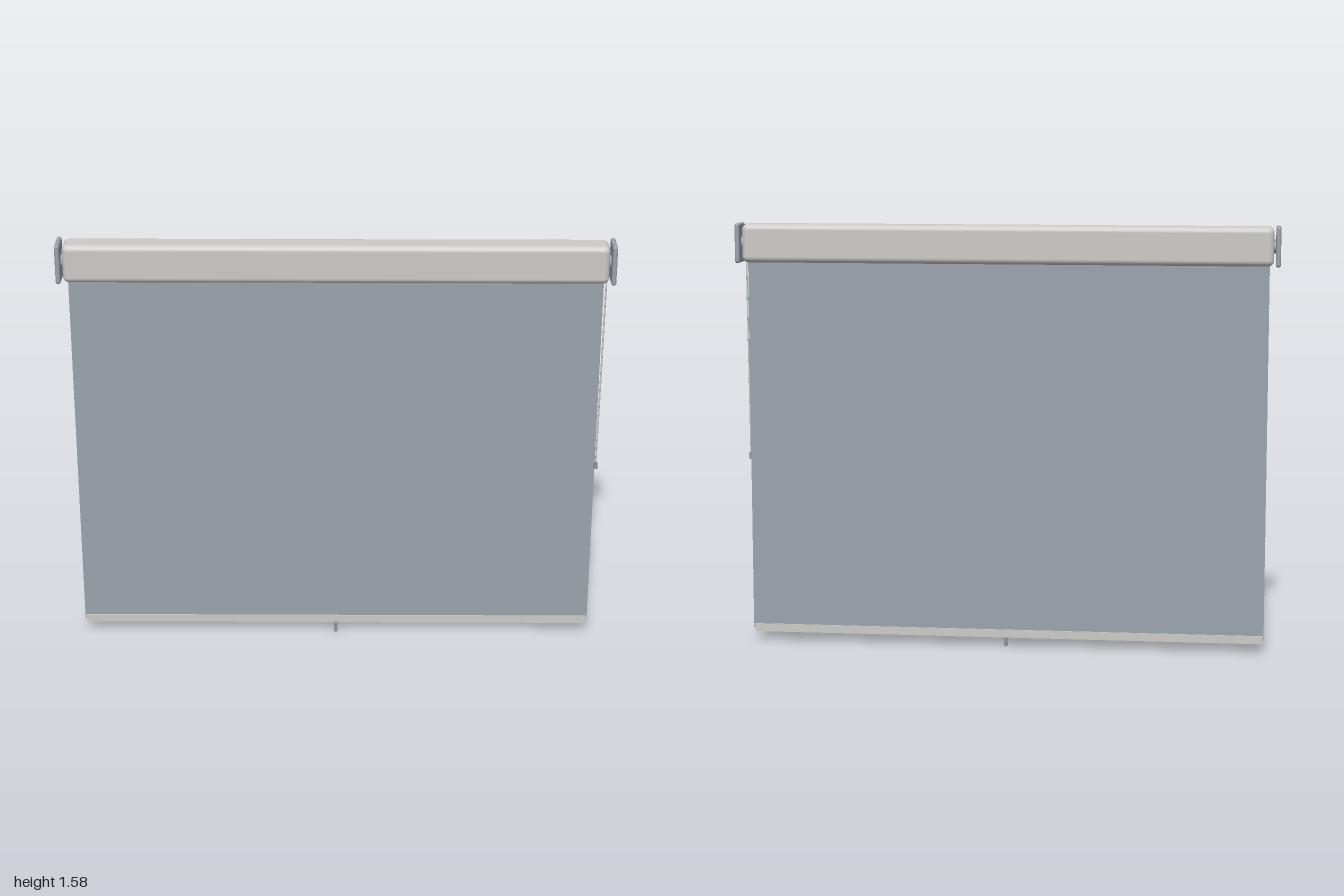
import * as THREE from 'three';
import { RoundedBoxGeometry } from 'three/addons/geometries/RoundedBoxGeometry.js';

function material(name, color) {
  const m = new THREE.MeshStandardMaterial({ color });
  m.name = name;
  return m;
}

export function createModel() {
  const group = new THREE.Group();
  group.name = 'rollerBlind';
  const shell = material('warm light grey', 0xcbcac6);
  const slate = material('blue grey', 0x9aa3ac);
  const grey = material('mid grey', 0x8d9298);

  const add = (name, geometry, mat, x, y, z) => {
    const mesh = new THREE.Mesh(geometry, mat);
    mesh.name = name;
    mesh.position.set(x, y, z);
    group.add(mesh);
    return mesh;
  };

  // Soft-edged housing for the roller
  add('cassette', new RoundedBoxGeometry(1.95, 0.142, 0.1, 5, 0.022), shell, 0, 1.507, 0);

  // End brackets and the pins that carry the housing
  for (const side of [-1, 1]) {
    const label = side > 0 ? 'left' : 'right';
    add(label + 'Bracket', new RoundedBoxGeometry(0.018, 0.146, 0.105, 4, 0.008), slate, side * 0.991, 1.507, 0);
    const pin = add(label + 'Pin', new THREE.CylinderGeometry(0.025, 0.025, 0.03, 20), slate, side * 0.975, 1.507, 0);
    pin.rotation.z = Math.PI / 2;
  }

  // Hanging fabric
  add('fabric', new THREE.BoxGeometry(1.922, 1.4, 0.004), slate, 0, 0.75, 0);

  // Bottom rail, slightly narrower towards its lower edge
  const rail = new THREE.BoxGeometry(1.918, 0.03, 0.012);
  const p = rail.attributes.position;
  for (let i = 0; i < p.count; i++) {
    if (p.getY(i) < 0) p.setX(i, p.getX(i) * 0.995);
  }
  rail.computeVertexNormals();
  add('bottomRail', rail, shell, 0, 0.05, 0);

  // Pull tab at the middle of the rail
  add('pullTab', new THREE.BoxGeometry(0.014, 0.037, 0.01), grey, 0, 0.0185, 0.011);

  // Side cord, leaning in slightly, with its end weight
  const path = new THREE.LineCurve3(new THREE.Vector3(0.969, 1.45, 0.008), new THREE.Vector3(0.964, 0.715, 0.01));
  add('cord', new THREE.TubeGeometry(path, 1, 0.003, 8), shell, 0, 0, 0);
  add('cordWeight', new THREE.CylinderGeometry(0.006, 0.008, 0.026, 12), grey, 0.964, 0.708, 0.011);

  return group;
}
